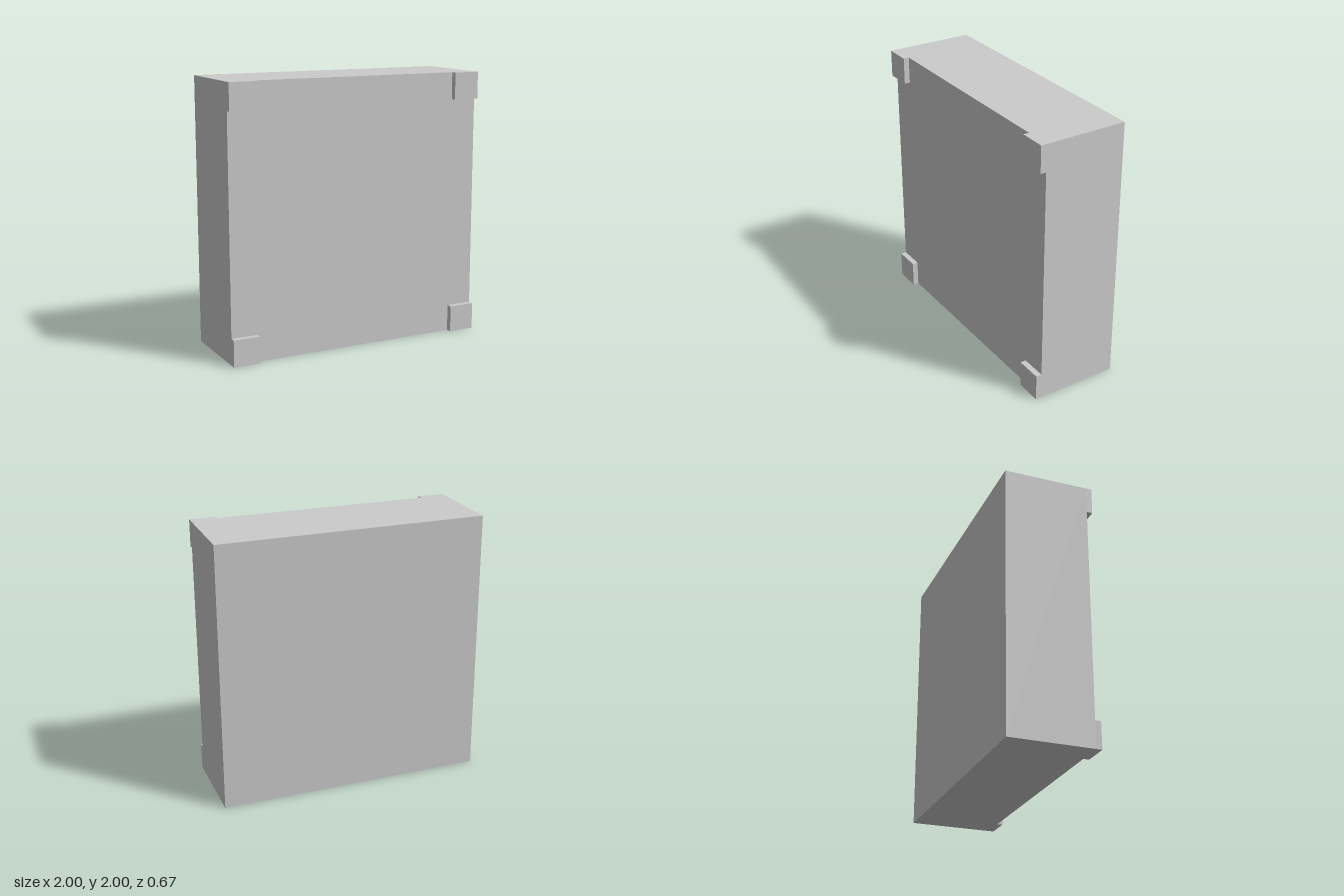
import * as THREE from 'three';

const SIZE = 2;          // width and height of the block
const HALF_DEPTH = 0.333; // overall half depth, pads included
const FACE_Z = 0.29;     // front face of the block
const PAD = 0.2;         // side of each square corner pad

export function createModel() {
  const group = new THREE.Group();
  group.name = 'paddedBlock';
  const material = new THREE.MeshStandardMaterial({ color: 0xcccccc });

  // Box spanning z0..z1, centred on x, y
  const addBox = (name, w, h, z0, z1, x, y) => {
    const mesh = new THREE.Mesh(new THREE.BoxGeometry(w, h, z1 - z0), material);
    mesh.name = name;
    mesh.position.set(x, y, (z0 + z1) / 2);
    group.add(mesh);
  };

  // Main block
  addBox('body', SIZE, SIZE, -HALF_DEPTH, FACE_Z, 0, SIZE / 2);

  // Four raised pads, flush with the outer corners of the front face
  const offset = (SIZE - PAD) / 2;
  for (const [side, sx] of [['Left', 1], ['Right', -1]]) {
    for (const [level, sy] of [['top', 1], ['bottom', -1]]) {
      addBox(`${level}${side}Pad`, PAD, PAD, FACE_Z, HALF_DEPTH, sx * offset, SIZE / 2 + sy * offset);
    }
  }
  return group;
}
